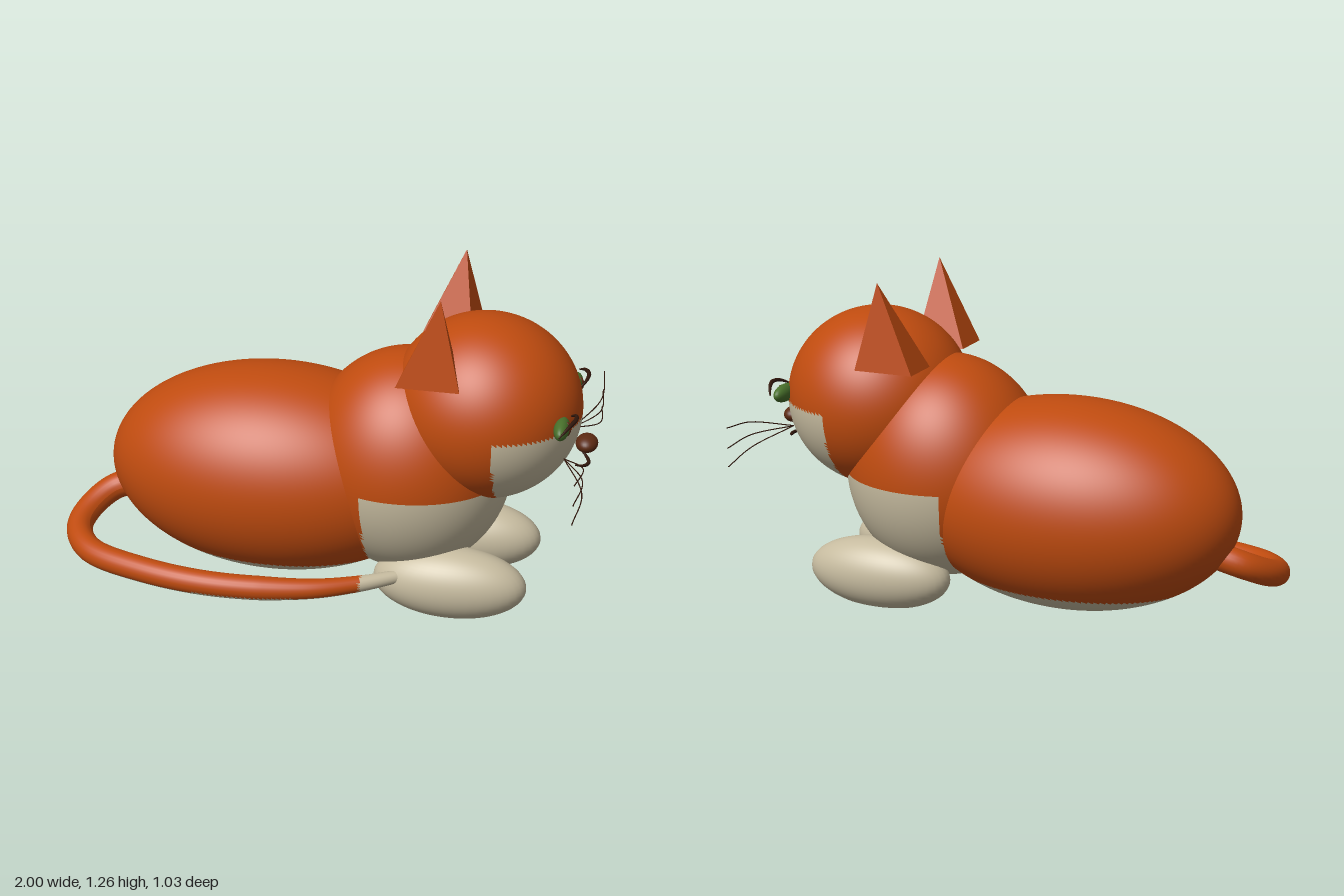
import * as THREE from 'three';
import { toCreasedNormals } from 'three/addons/utils/BufferGeometryUtils.js';

const mat = (name, color, side = THREE.FrontSide) => {
  const m = new THREE.MeshStandardMaterial({ color, side });
  m.name = name;
  return m;
};

const MID = -0.015; // z of the animal's mirror plane

export function createModel() {
  const orange = mat('orange fur', 0xbf4b0f);
  const cream = mat('cream fur', 0xc6bb9f);
  const green = mat('green iris', 0x48702b);
  const brown = mat('brown nose', 0x5c2a12);
  const dark = mat('dark line', 0x32180c);

  const cat = new THREE.Group();
  cat.name = 'lyingCat';

  const add = (name, geometry, material, parent = cat) => {
    const mesh = new THREE.Mesh(geometry, material);
    mesh.name = name;
    parent.add(mesh);
    return mesh;
  };

  const ellipsoid = (c, r, ws = 32, hs = 20) =>
    new THREE.SphereGeometry(1, ws, hs).scale(...r).translate(...c);

  // Sorts the faces into orange (group 0) and cream (group 1) by their centre
  const twoTone = (name, geo, isCream) => {
    const p = geo.attributes.position, idx = geo.index.array;
    const sets = [[], []];
    for (let i = 0; i < idx.length; i += 3) {
      const t = [idx[i], idx[i + 1], idx[i + 2]];
      const mean = (f) => t.reduce((s, v) => s + p[f](v), 0) / 3;
      sets[isCream(mean('getX'), mean('getY')) ? 1 : 0].push(...t);
    }
    geo.setIndex([...sets[0], ...sets[1]]);
    geo.clearGroups();
    geo.addGroup(0, sets[0].length, 0);
    geo.addGroup(sets[0].length, sets[1].length, 1);
    return add(name, geo, [orange, cream]);
  };

  const curve = (pts) => new THREE.CatmullRomCurve3(pts.map((q) => new THREE.Vector3(...q)));

  // Tube whose radius follows a function of its length (0 to 1)
  const taperedTube = (pts, radiusAt, segs, sides) => {
    const path = curve(pts);
    const geo = new THREE.TubeGeometry(path, segs, 1, sides);
    const p = geo.attributes.position, v = new THREE.Vector3();
    for (let i = 0; i < p.count; i++) {
      const t = Math.floor(i / (sides + 1)) / segs;
      const c = path.getPointAt(t);
      v.fromBufferAttribute(p, i).sub(c).multiplyScalar(radiusAt(t)).add(c);
      p.setXYZ(i, v.x, v.y, v.z);
    }
    geo.computeVertexNormals();
    return geo;
  };

  // Body, chest and head with pale underside, bib and muzzle
  twoTone('body', ellipsoid([-0.21, 0.43, MID - 0.005], [0.65, 0.4, 0.4], 120, 80),
    (x, y) => y < 0.14);
  twoTone('chest', ellipsoid([0.3, 0.52, MID], [0.39, 0.43, 0.365], 120, 80),
    (x, y) => x > 0.185 && y < 0.505);
  twoTone('head', ellipsoid([0.58, 0.765, MID], [0.355, 0.345, 0.345], 120, 80),
    (x, y) => x > 0.655 && y < 0.757);

  // Tail curling round to the left front paw
  const tail = taperedTube([
    [-0.76, 0.3, -0.02], [-0.87, 0.265, 0.0], [-0.94, 0.215, 0.09], [-0.948, 0.18, 0.2],
    [-0.86, 0.162, 0.33], [-0.62, 0.157, 0.425], [-0.33, 0.153, 0.462],
    [0, 0.15, 0.415], [0.18, 0.15, 0.335], [0.32, 0.155, 0.25],
  ], (t) => (t < 0.7 ? 0.052 - 0.01 * t : 0.045 - 0.07 * (t - 0.7)), 110, 24);
  twoTone('tail', tail, (x, y) => y < 0.127 || x > 0.19);

  for (const s of [1, -1]) {
    const side = s > 0 ? 'left' : 'right';
    const z = (d) => MID + s * d;

    // Front paw, flat where it rests on the ground
    const paw = ellipsoid([0.497, 0.12, z(0.2)], [0.288, 0.138, 0.13], 40, 32);
    const p = paw.attributes.position;
    for (let i = 0; i < p.count; i++) p.setY(i, Math.max(0, p.getY(i)));
    add(side + 'FrontPaw', toCreasedNormals(paw, 0.5), cream);

    // Ear: four-sided pyramid with its tip set off centre
    const base = [[0.3, 0.31], [0.53, 0.31], [0.5, 0.15], [0.3, 0.15]]
      .map(([x, d]) => [x, 0.935, z(d)]);
    const tip = [0.45, 1.26, z(0.27)];
    const tris = [];
    for (let i = 0; i < 4; i++) {
      const a = base[i], b = base[(i + 1) % 4];
      tris.push(...(s > 0 ? [a, b, tip] : [b, a, tip]));
    }
    const [a, b, c, d] = base;
    tris.push(...(s > 0 ? [a, d, c, a, c, b] : [a, c, d, a, b, c]));
    const ear = new THREE.BufferGeometry();
    ear.setAttribute('position', new THREE.Float32BufferAttribute(tris.flat(), 3));
    ear.computeVertexNormals();
    add(side + 'Ear', ear, orange);

    // Eye with slit pupil and upper lid
    const eye = new THREE.Group();
    eye.name = side + 'Eye';
    cat.add(eye);
    add('iris', ellipsoid([0.883, 0.791, z(0.205)], [0.028, 0.034, 0.074]), green, eye);
    add('pupil', ellipsoid([0.9, 0.791, z(0.203)], [0.016, 0.028, 0.013], 16, 12), brown, eye);
    add('upperLid', taperedTube([
      [0.885, 0.802, z(0.315)], [0.915, 0.826, z(0.26)], [0.932, 0.832, z(0.205)],
      [0.926, 0.824, z(0.155)], [0.9, 0.802, z(0.115)],
    ], (t) => 0.002 + 0.006 * Math.sin(Math.PI * t), 20, 8), dark, eye);

    // Whiskers
    for (const [y1, y2] of [[0.69, 0.72], [0.642, 0.642], [0.595, 0.57]]) {
      const w = curve([[0.89, 0.641, z(0.135)], [0.975, y1, z(0.3)], [0.965, y2, z(0.505)]]);
      add(side + 'Whisker', new THREE.TubeGeometry(w, 16, 0.0022, 5), dark);
    }
  }

  // Nose and mouth
  add('nose', ellipsoid([0.957, 0.649, MID], [0.041, 0.032, 0.055]), brown);
  add('mouth', taperedTube([
    [0.925, 0.59, z0(0.075)], [0.955, 0.575, z0(0.04)], [0.968, 0.571, z0(0)],
    [0.955, 0.575, z0(-0.04)], [0.925, 0.59, z0(-0.075)],
  ], (t) => 0.002 + 0.005 * Math.sin(Math.PI * t), 24, 8), dark);

  return cat;
}

function z0(d) {
  return MID + d;
}
